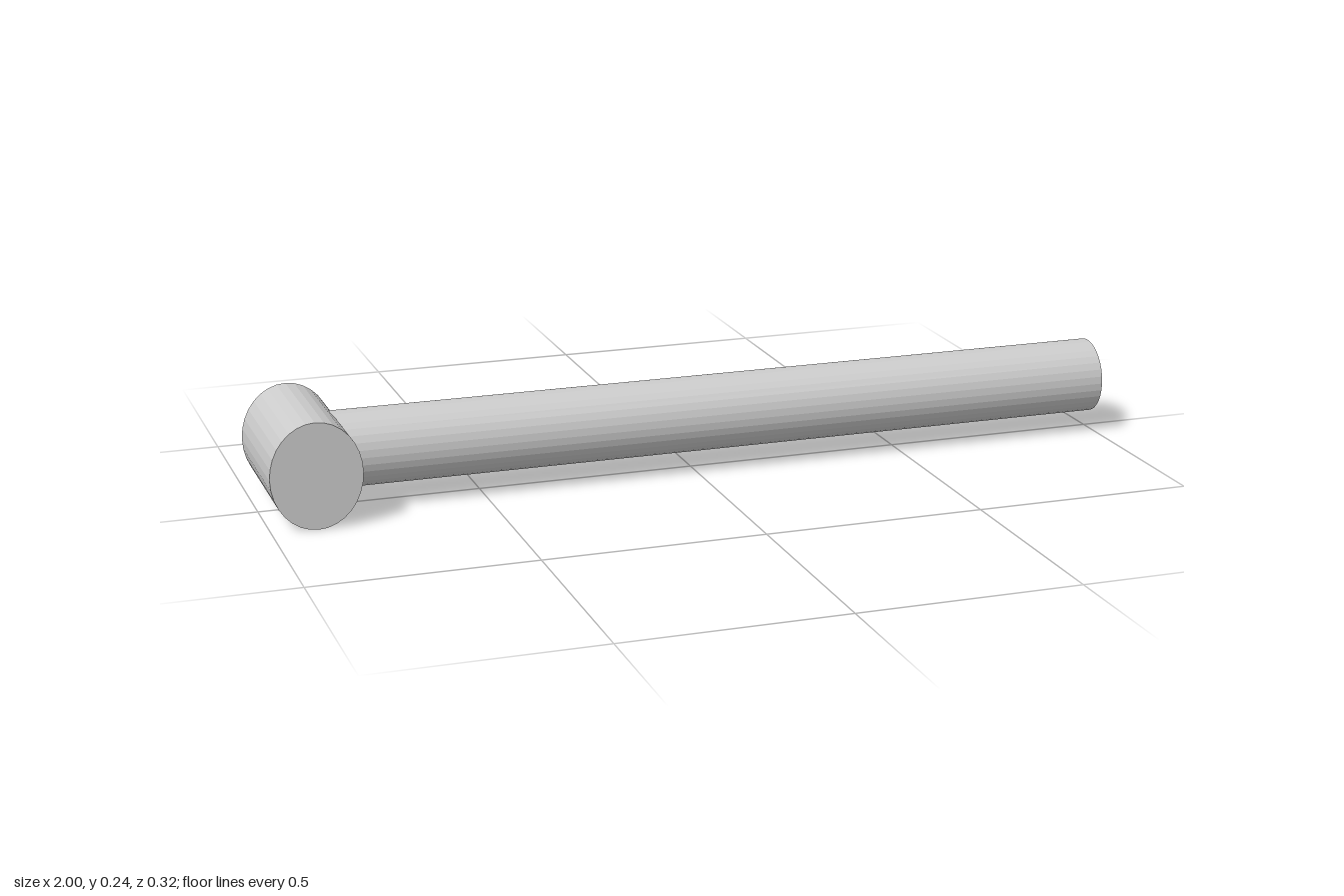
import * as THREE from 'three';

const SIDES = 32;

// Solid faceted cylinder of unit radius, to be scaled and turned
function rod(name, length, material) {
  const mesh = new THREE.Mesh(new THREE.CylinderGeometry(1, 1, length, SIDES), material);
  mesh.name = name;
  return mesh;
}

export function createModel() {
  const group = new THREE.Group();
  group.name = 'mallet';
  const material = new THREE.MeshStandardMaterial({ color: 0xcccccc, flatShading: true });

  // Head: oval cylinder lying along z, taller than wide
  const head = rod('head', 0.32, material);
  head.scale.set(0.102, 1, 0.12);
  head.rotation.x = Math.PI / 2;
  head.position.set(-0.898, 0.12, 0);
  group.add(head);

  // Handle: long round bar running along x out of the middle of the head
  const start = -0.898, end = 1;
  const handle = rod('handle', end - start, material);
  handle.scale.set(0.086, 1, 0.086);
  handle.rotation.z = -Math.PI / 2;
  handle.position.set((start + end) / 2, 0.126, 0);
  group.add(handle);

  return group;
}
